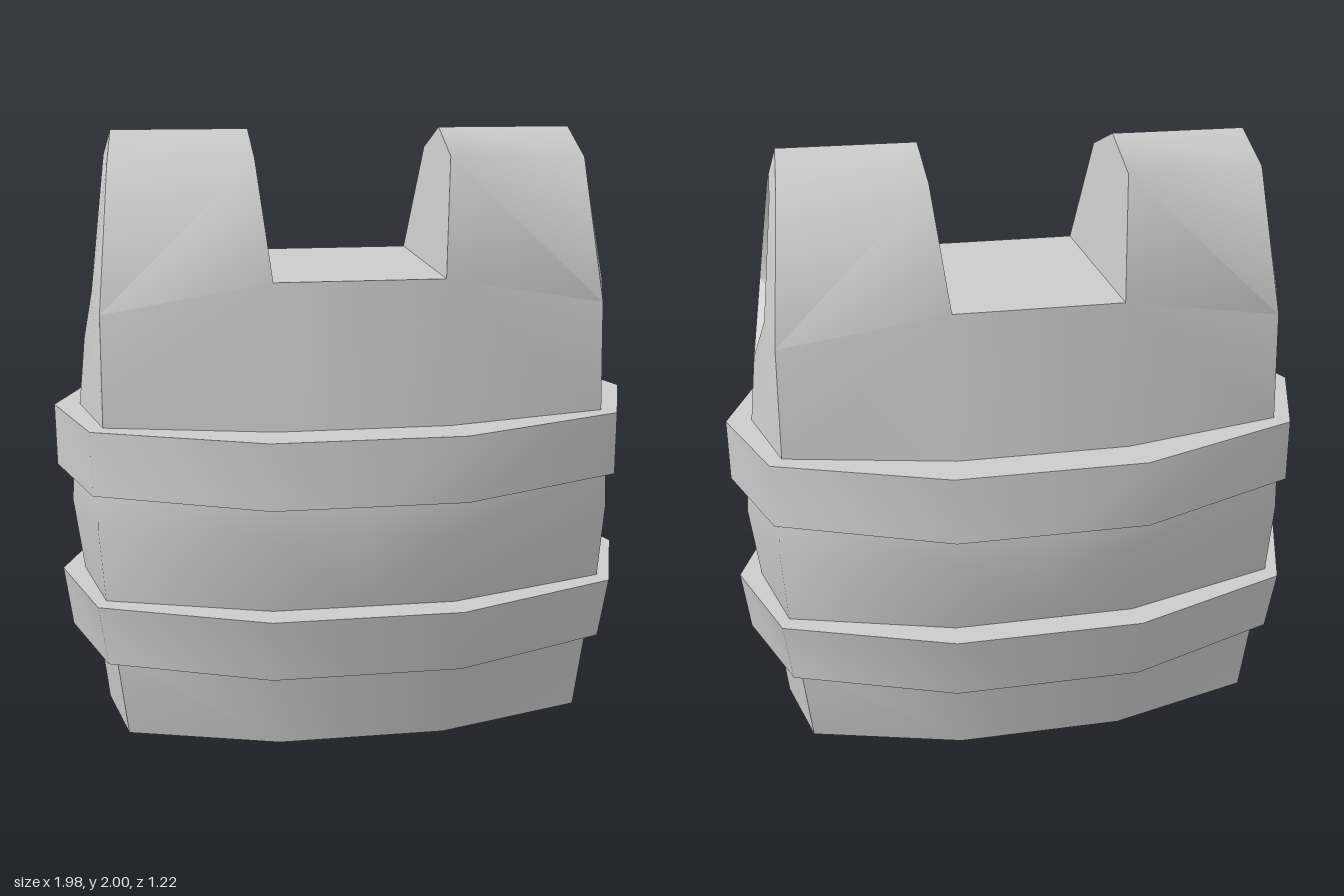
import * as THREE from 'three';
import { toCreasedNormals } from 'three/addons/utils/BufferGeometryUtils.js';

// Add a patch to a triangle list: rows run bottom to top, columns left to right seen from outside.
function patch(tris, rows) {
  for (let r = 0; r + 1 < rows.length; r++) {
    for (let i = 0; i + 1 < rows[r].length; i++) {
      const a = rows[r][i], b = rows[r][i + 1], c = rows[r + 1][i + 1], d = rows[r + 1][i];
      tris.push([a, b, c], [a, c, d]);
    }
  }
}

// Turn triangles of the +x +z quarter into a whole mesh mirrored over both axes.
function mirroredMesh(name, tris, crease) {
  const pos = [];
  const v = [new THREE.Vector3(), new THREE.Vector3(), new THREE.Vector3()];
  for (const sx of [1, -1]) {
    for (const sz of [1, -1]) {
      for (const t of tris) {
        t.forEach((p, i) => v[i].set(p[0] * sx, p[1], p[2] * sz));
        if (new THREE.Triangle(...v).getArea() < 1e-7) continue;
        const order = sx * sz > 0 ? [0, 1, 2] : [0, 2, 1];
        for (const i of order) pos.push(v[i].x, v[i].y, v[i].z);
      }
    }
  }
  const geo = new THREE.BufferGeometry();
  geo.setAttribute('position', new THREE.Float32BufferAttribute(pos, 3));
  const mesh = new THREE.Mesh(
    toCreasedNormals(geo, crease),
    new THREE.MeshStandardMaterial({ color: 0xcccccc })
  );
  mesh.name = name;
  return mesh;
}

// Quarter of a ten-sided ring: front edge half-width, corner, and side point.
const ring = (y, frontX, frontZ, cornerX, cornerZ, sideX) => [
  [0, y, frontZ], [frontX, y, frontZ], [cornerX, y, cornerZ], [sideX, y, 0],
];
const scaled = (row, s, y) => row.map(([x, , z]) => [x * s, y, z * s]);

export function createModel() {
  const model = new THREE.Group();
  model.name = 'bandedBody';

  // Lower body: bulging wall with a shallow dished underside
  const lower = [];
  const rim = ring(0, 0.28, 0.43, 0.78, 0.29, 0.85);
  patch(lower, [
    scaled(rim, 0, 0.07),
    scaled(rim, 0.85, 0.06),
    rim,
    ring(0.29, 0.29, 0.465, 0.81, 0.31, 0.88),
    ring(0.5, 0.3, 0.49, 0.835, 0.325, 0.915),
    ring(0.75, 0.3, 0.52, 0.85, 0.335, 0.945),
    ring(0.88, 0.3, 0.505, 0.845, 0.335, 0.935),
    ring(1.09, 0.28, 0.455, 0.82, 0.33, 0.905),
  ]);
  model.add(mirroredMesh('lowerBody', lower, 1.05));

  // Horn sections, listed from the ridge down
  const inner = [[0.32, 2, 0], [0.315, 1.92, 0.22], [0.275, 1.55, 0.375], [0.28, 1.09, 0.455], [0.28, 1.09, 0.455]];
  const outer = [[0.765, 2, 0], [0.775, 1.91, 0.17], [0.815, 1.45, 0.31], [0.82, 1.09, 0.33], [0.905, 1.09, 0]];
  const opening = [[0.79, 1.92, 0], [0.795, 1.87, 0.1], [0.84, 1.51, 0.215], [0.84, 1.51, 0.215], [0.88, 1.315, 0]];
  const floor = [[0.65, 1.83, 0], [0.65, 1.79, 0.06], [0.65, 1.53, 0.14], [0.65, 1.53, 0.14], [0.65, 1.39, 0]];
  const floorCentre = floor.map(() => [0.65, 1.63, 0]);

  // Upper body: two horns with a flat notch between them
  const upper = [];
  patch(upper, [inner, outer, opening]);
  const notchCorner = inner[2], notchMid = [0.275, 1.55, 0];
  patch(upper, [[notchMid, notchCorner], [inner[0], inner[1]]]);
  patch(upper, [
    [[0, 1.09, 0.455], inner[3]],
    [[0, 1.55, 0.375], notchCorner],
    [[0, 1.55, 0], notchMid],
  ]);
  model.add(mirroredMesh('upperBody', upper, 1.0));

  // Tapering sockets in the outer horn ends
  const sockets = [];
  patch(sockets, [opening, floor, floorCentre]);
  model.add(mirroredMesh('hornSockets', sockets, 1.0));

  // Raised bands around the body
  const bands = [
    ['lowerBand', ring(0.29, 0.31, 0.56, 0.835, 0.36, 0.965), ring(0.5, 0.31, 0.585, 0.86, 0.38, 0.99)],
    ['upperBand', ring(0.88, 0.31, 0.61, 0.86, 0.38, 0.99), ring(1.09, 0.31, 0.585, 0.86, 0.375, 0.99)],
  ];
  for (const [name, bottom, top] of bands) {
    const tris = [];
    patch(tris, [scaled(bottom, 0.7, bottom[0][1]), bottom, top, scaled(top, 0.7, top[0][1])]);
    model.add(mirroredMesh(name, tris, 1.0));
  }
  return model;
}
